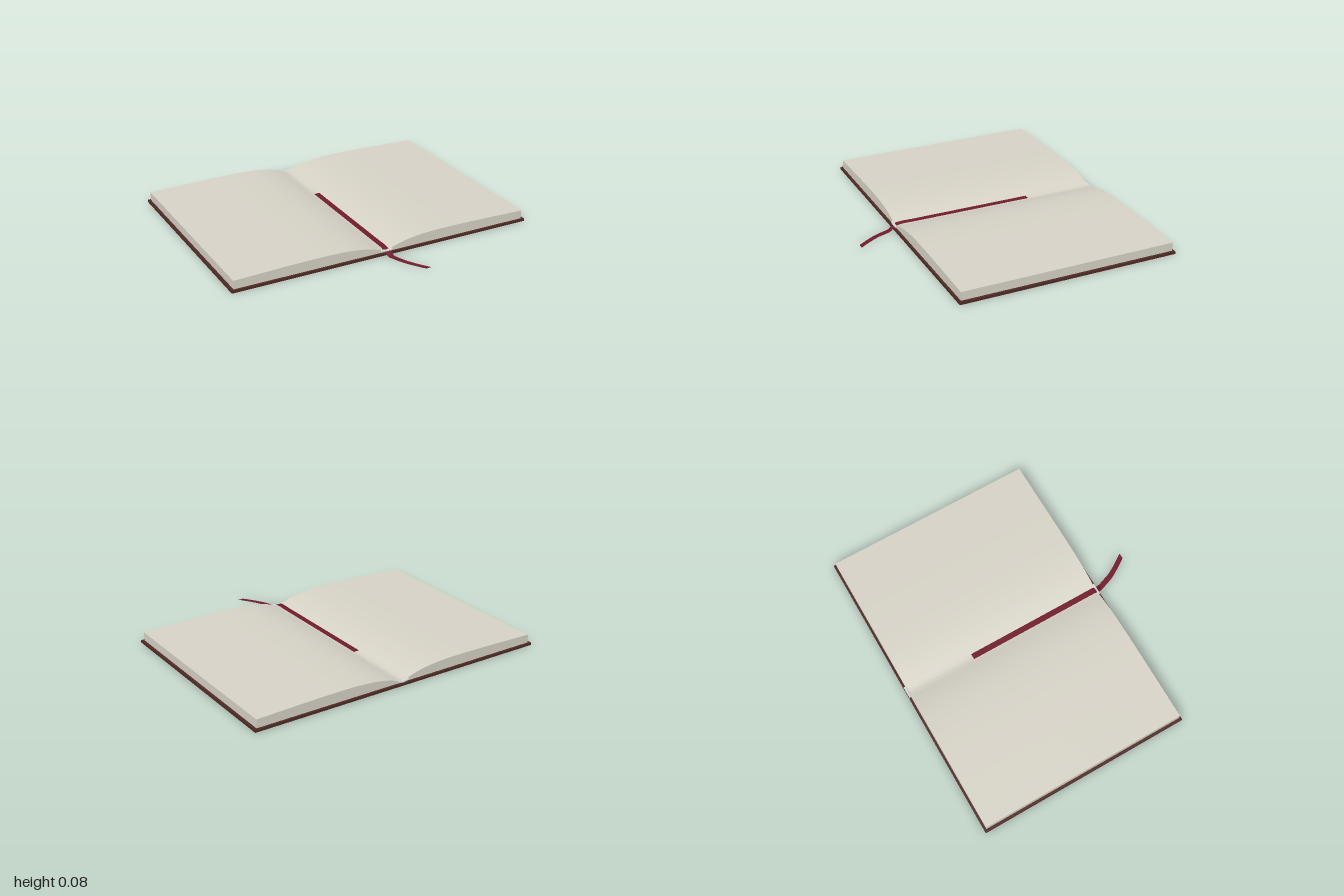
import * as THREE from 'three';
import { toCreasedNormals } from 'three/addons/utils/BufferGeometryUtils.js';

const material = (name, color, side = THREE.FrontSide) => {
  const m = new THREE.MeshStandardMaterial({ color, side });
  m.name = name;
  return m;
};

export function createModel() {
  const book = new THREE.Group();
  book.name = 'openBook';
  const leather = material('brown leather', 0x4f2a25);
  const paper = material('cream paper', 0xd6d2c6);
  const band = material('pale headband', 0xd8d8d4);
  const silk = material('crimson ribbon', 0x701c2b, THREE.DoubleSide);

  const add = (name, geometry, mat) => {
    const mesh = new THREE.Mesh(geometry, mat);
    mesh.name = name;
    book.add(mesh);
    return mesh;
  };

  // Cover boards and the spine strip between them
  const front = 0.567, back = -0.827, depth = front - back, mid = (front + back) / 2;
  for (const side of [-1, 1]) {
    add(side > 0 ? 'leftCover' : 'rightCover', new THREE.BoxGeometry(0.96, 0.016, depth), leather)
      .position.set(side * 0.52, 0.008, mid);
  }
  add('spine', new THREE.BoxGeometry(0.08, 0.014, depth), leather).position.set(0, 0.007, mid);

  // Page blocks: a swelling profile from the gutter to the fore-edge
  const profile = [
    [0, 0.027], [0.025, 0.031], [0.06, 0.042], [0.11, 0.056], [0.18, 0.069],
    [0.27, 0.078], [0.4, 0.082], [0.6, 0.08], [0.8, 0.075], [0.983, 0.07],
  ];
  const pagesFront = 0.553, pagesBack = -0.813;
  for (const side of [-1, 1]) {
    const curve = new THREE.SplineCurve(profile.map(([x, y]) => new THREE.Vector2(side * x, y)));
    const outline = new THREE.Shape([
      new THREE.Vector2(0, 0.0145),
      ...curve.getPoints(45),
      new THREE.Vector2(side * 0.983, 0.0145),
    ]);
    const pages = new THREE.ExtrudeGeometry(outline, { depth: pagesFront - pagesBack, bevelEnabled: false });
    add(side > 0 ? 'leftPages' : 'rightPages', toCreasedNormals(pages, 0.5), paper).position.z = pagesBack;
  }

  // Headbands tucked against both ends of the spine
  const bandPath = new THREE.CatmullRomCurve3([
    new THREE.Vector3(-0.04, 0.029, 0),
    new THREE.Vector3(0, 0.023, 0),
    new THREE.Vector3(0.04, 0.029, 0),
  ]);
  for (const [name, z] of [['frontHeadband', 0.556], ['backHeadband', -0.816]]) {
    add(name, new THREE.TubeGeometry(bandPath, 12, 0.009, 8), band).position.z = z;
  }

  // Ribbon marker: a flat strip down the gutter, over the edge and onto the ground
  const path = new THREE.CatmullRomCurve3([
    [0, 0.036, -0.355], [0, 0.036, 0], [0, 0.036, 0.4], [0, 0.035, 0.535], [0, 0.026, 0.56],
    [0.002, 0.018, 0.573], [0.01, 0.004, 0.597], [0.022, 0.002, 0.63], [0.045, 0.002, 0.69],
    [0.085, 0.002, 0.76], [0.13, 0.002, 0.826],
  ].map((p) => new THREE.Vector3(...p)), false, 'centripetal');
  const steps = 90;
  const strip = new THREE.PlaneGeometry(1, 1, 1, steps);
  const pos = strip.attributes.position;
  for (let i = 0; i <= steps; i++) {
    const p = path.getPoint(i / steps);
    for (const j of [0, 1]) {
      pos.setXYZ(i * 2 + j, p.x + (j ? 0.019 : -0.019), Math.max(p.y, 0.001), p.z);
    }
  }
  strip.computeVertexNormals();
  add('ribbonMarker', strip, silk);

  return book;
}
